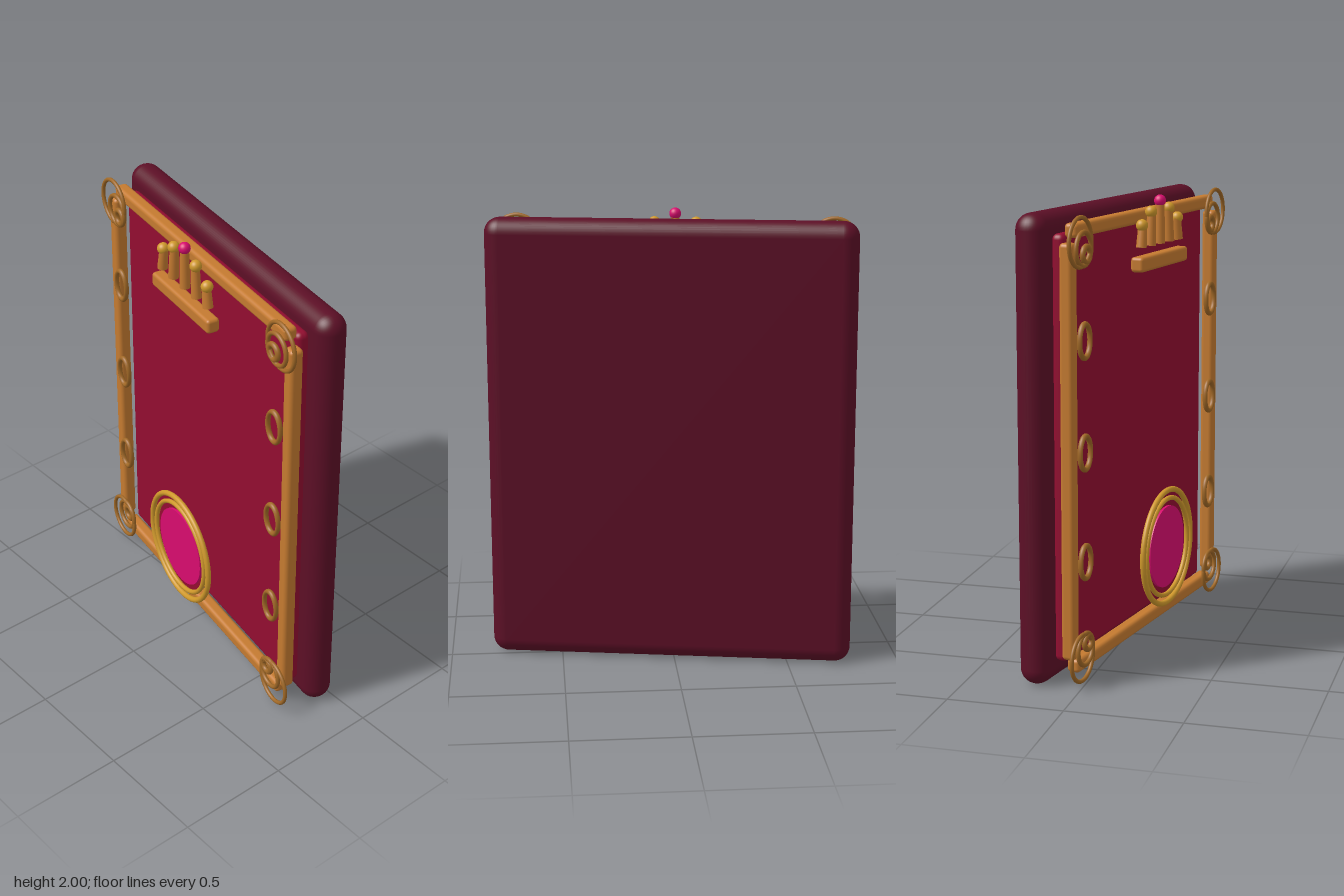
import * as THREE from 'three';
import { RoundedBoxGeometry } from 'three/addons/geometries/RoundedBoxGeometry.js';

const paint = (name, color) => {
  const m = new THREE.MeshStandardMaterial({ color });
  m.name = name;
  return m;
};

export function createModel() {
  const burgundy = paint('burgundy', 0x5c0f26);
  const crimson = paint('crimson', 0x920d30);
  const copper = paint('copper', 0xc47a30);
  const bronze = paint('bronze', 0xa06826);
  const gold = paint('gold', 0xcf982b);
  const pink = paint('hotPink', 0xd80c6e);

  const model = new THREE.Group();
  model.name = 'ornatePanel';
  // the whole panel is turned slightly about the vertical
  const panel = new THREE.Group();
  panel.name = 'panel';
  panel.rotation.y = -THREE.MathUtils.degToRad(10);
  model.add(panel);

  const add = (name, geometry, material, x, y, z) => {
    const mesh = new THREE.Mesh(geometry, material);
    mesh.name = name;
    mesh.position.set(x, y, z);
    panel.add(mesh);
    return mesh;
  };
  const box = (name, w, h, d, r, material, x, y, z) =>
    add(name, new RoundedBoxGeometry(w, h, d, 5, r), material, x, y, z);
  const ring = (name, r, tube, material, x, y, z) =>
    add(name, new THREE.TorusGeometry(r, tube, 12, 48), material, x, y, z);

  // padded slab and raised face
  box('slab', 1.617, 1.98, 0.14, 0.069, burgundy, 0, 0.99, -0.074);
  box('facePanel', 1.42, 1.8, 0.06, 0.025, crimson, 0, 0.995, 0.018);

  // frame bars
  for (const y of [0.085, 1.91]) box('frameRail', 1.42, 0.06, 0.06, 0.018, copper, 0, y, 0.078);
  for (const s of [-1, 1]) box('frameStile', 0.06, 1.74, 0.06, 0.018, copper, s * 0.734, 0.995, 0.08);

  // corner scrolls: rings that shrink towards the middle of the face
  for (const sx of [-1, 1]) {
    for (const sy of [-1, 1]) {
      [[0.1, 0.009, 0], [0.068, 0.01, 0.03], [0.032, 0.012, 0.054]].forEach(([r, tube, inset]) => {
        ring('cornerScroll', r, tube, bronze, sx * (0.7 - inset), 0.995 + sy * (0.87 - inset), 0.118);
      });
    }
    // oval links down each side
    for (const y of [0.53, 0.995, 1.46]) {
      ring('sideOval', 0.07, 0.012, bronze, sx * 0.657, y, 0.115).scale.x = 0.68;
    }
  }

  // crown
  box('crownBase', 0.48, 0.065, 0.06, 0.015, copper, 0, 1.722, 0.152);
  for (let i = -2; i <= 2; i++) {
    const x = i * 0.0925;
    const tip = [1.975, 1.935, 1.885][Math.abs(i)];
    const length = tip - 1.79;
    const spike = add('crownSpike', new THREE.CylinderGeometry(0.019, 0.023, length, 20), copper,
      x, 1.79 + length / 2, 0.152);
    spike.rotation.z = x * 0.8;
    add('crownPearl', new THREE.SphereGeometry(0.026, 24, 16), i === 0 ? pink : gold, x, tip - (i === 0 ? 0.001 : 0), 0.152);
  }

  // medallion
  const disc = (name, r, depth, material, z) => {
    add(name, new THREE.CylinderGeometry(r, r, depth, 64), material, 0, 0.435, z).rotation.x = Math.PI / 2;
  };
  disc('medallionBacking', 0.215, 0.02, crimson, 0.172);
  disc('medallionDisc', 0.184, 0.02, pink, 0.184);
  ring('medallionOuterRing', 0.258, 0.013, gold, 0, 0.435, 0.193);
  ring('medallionInnerRing', 0.22, 0.011, gold, 0, 0.435, 0.193);

  return model;
}
